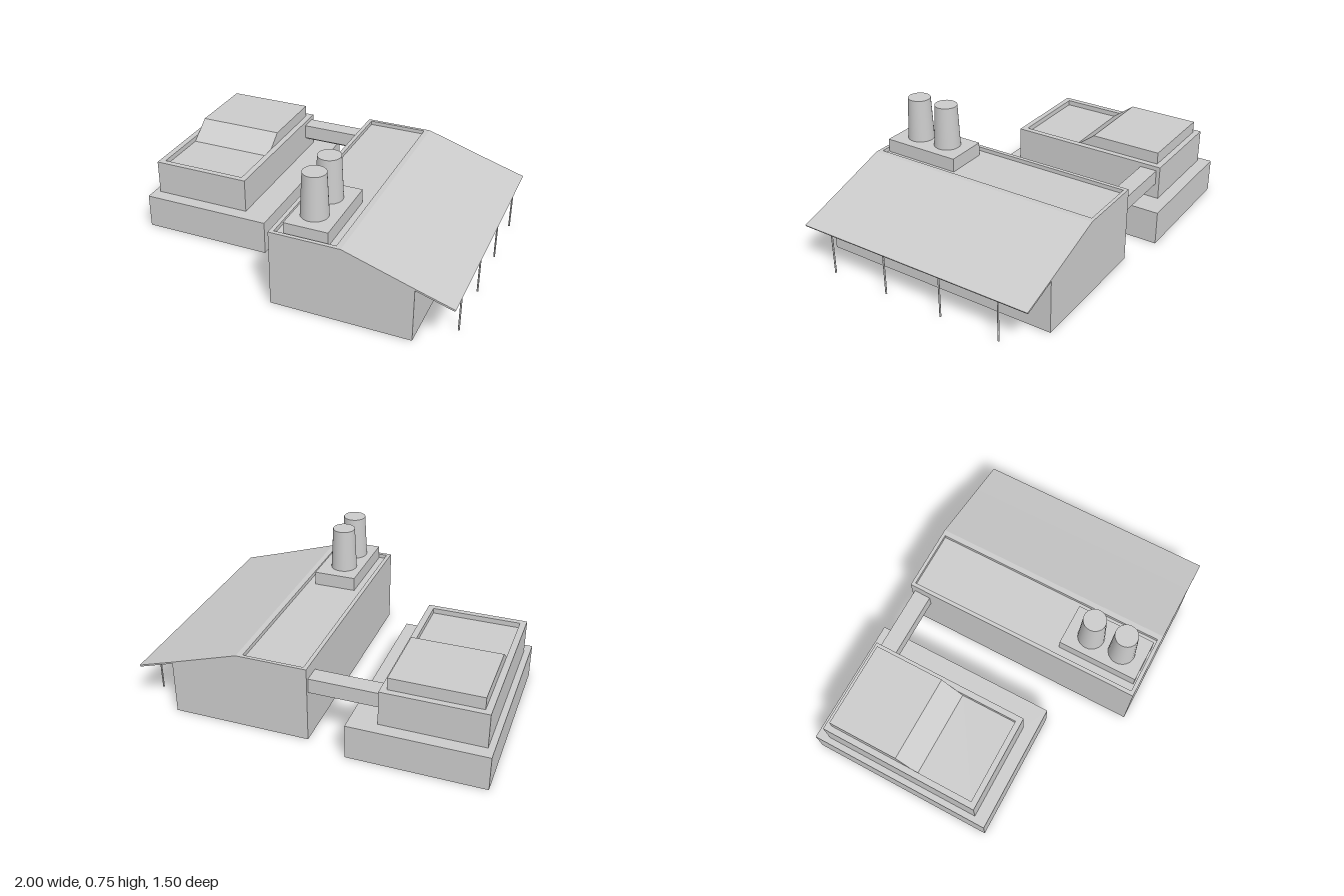
import * as THREE from 'three';

const grey = new THREE.MeshStandardMaterial({ color: 0xcccccc, side: THREE.DoubleSide });
const flatGrey = new THREE.MeshStandardMaterial({ color: 0xcccccc, side: THREE.DoubleSide, flatShading: true });

// Open-bottomed shell through rectangles [x0, x1, z0, z1, y], optionally closed by a cap
function shell(rects, cap = true) {
  const loops = rects.map(([x0, x1, z0, z1, y]) => [[x0, y, z1], [x1, y, z1], [x1, y, z0], [x0, y, z0]]);
  const pos = [];
  for (let k = 0; k + 1 < loops.length; k++) {
    const a = loops[k], b = loops[k + 1];
    for (let i = 0; i < 4; i++) {
      const j = (i + 1) % 4;
      pos.push(...a[i], ...a[j], ...b[j], ...a[i], ...b[j], ...b[i]);
    }
  }
  if (cap) {
    const c = loops[loops.length - 1];
    pos.push(...c[0], ...c[1], ...c[2], ...c[0], ...c[2], ...c[3]);
  }
  const g = new THREE.BufferGeometry();
  g.setAttribute('position', new THREE.Float32BufferAttribute(pos, 3));
  g.computeVertexNormals();
  return g;
}

const shapeOf = (pts) => new THREE.Shape(pts.map(([x, y]) => new THREE.Vector2(x, y)));

function extrude(pts, depth) {
  return new THREE.ExtrudeGeometry(shapeOf(pts), { depth, bevelEnabled: false });
}

function add(parent, name, geometry, material = flatGrey) {
  const mesh = new THREE.Mesh(geometry, material);
  mesh.name = name;
  parent.add(mesh);
  return mesh;
}

function buildHall() {
  const hall = new THREE.Group();
  hall.name = 'mainHall';
  const zb = -0.68, zf = 0.75, len = zf - zb, zc = (zf + zb) / 2;

  // Gable walls and long side walls, open below
  const gable = [[0, 0], [0.79, 0], [0.79, 0.315], [0.4, 0.443], [0, 0.443]];
  add(hall, 'frontGable', new THREE.ShapeGeometry(shapeOf(gable)).translate(0, 0, zf));
  const mirrored = gable.map(([x, y]) => [-x, y]).reverse();
  add(hall, 'backGable', new THREE.ShapeGeometry(shapeOf(mirrored)).rotateY(Math.PI).translate(0, 0, zb));
  add(hall, 'leftWall', new THREE.PlaneGeometry(len, 0.315).rotateY(Math.PI / 2).translate(0.79, 0.1575, zc));
  add(hall, 'rightWall', new THREE.PlaneGeometry(len, 0.443).rotateY(-Math.PI / 2).translate(0, 0.2215, zc));

  // Flat roof with a sunken panel
  add(hall, 'flatRoof', shell([
    [0, 0.4, zb, zf, 0.443], [0.023, 0.368, zb + 0.02, zf - 0.022, 0.443], [0.023, 0.368, zb + 0.02, zf - 0.022, 0.42],
  ]));

  // Sloping roof with overhang, carried on thin posts
  const slope = [[0.4, 0.443], [0.4, 0.433], [0.79, 0.308], [0.995, 0.244], [1, 0.253], [0.79, 0.318]];
  add(hall, 'slopingRoof', extrude(slope, len).translate(0, 0, zb));
  for (const z of [0.575, 0.217, -0.142, -0.5]) {
    add(hall, 'canopyPost', new THREE.CylinderGeometry(0.005, 0.005, 0.25, 8).translate(0.981, 0.125, z), grey);
  }

  // Chimney plinth and two tapered chimneys
  add(hall, 'chimneyPlinth', shell([
    [0.072, 0.32, 0.252, 0.72, 0.42], [0.072, 0.32, 0.252, 0.72, 0.5],
  ]));
  for (const z of [0.393, 0.583]) {
    add(hall, 'chimney', new THREE.CylinderGeometry(0.065, 0.077, 0.25, 24).translate(0.187, 0.625, z), grey);
  }
  return hall;
}

function buildAnnex() {
  const annex = new THREE.Group();
  annex.name = 'annex';
  const x0 = -0.93, x1 = -0.425, z0 = -0.647, z1 = 0.237, floor = 0.37;

  // Stepped walls, rim and the sides of the roof recess
  add(annex, 'steppedWalls', shell([
    [-1, -0.235, -0.755, 0.345, 0], [-1, -0.235, -0.755, 0.345, 0.2],
    [-0.965, -0.39, -0.682, 0.27, 0.2], [-0.965, -0.39, -0.682, 0.27, 0.4],
    [x0, x1, z0, z1, 0.4], [x0, x1, z0, z1, floor],
  ], false));
  add(annex, 'recessFloor', shell([[x0, x1, -0.1, z1, floor]]));

  // Raised roof block with a sloping front; profile drawn in (-z, y)
  const block = [[0.1, floor], [-z0, floor], [-z0, 0.47], [0.228, 0.47]];
  add(annex, 'raisedRoof', extrude(block, x1 - x0).rotateY(Math.PI / 2).translate(x0, 0, 0));
  return annex;
}

export function createModel() {
  const model = new THREE.Group();
  model.name = 'powerPlant';
  model.add(buildHall(), buildAnnex());

  // Enclosed bridge with a keeled underside; profile drawn in (-z, y)
  const section = [[0.56, 0.375], [0.56, 0.29], [0.61, 0.258], [0.66, 0.29], [0.66, 0.375]];
  add(model, 'bridge', extrude(section, 0.39).rotateY(Math.PI / 2).translate(-0.39, 0, 0));
  return model;
}
